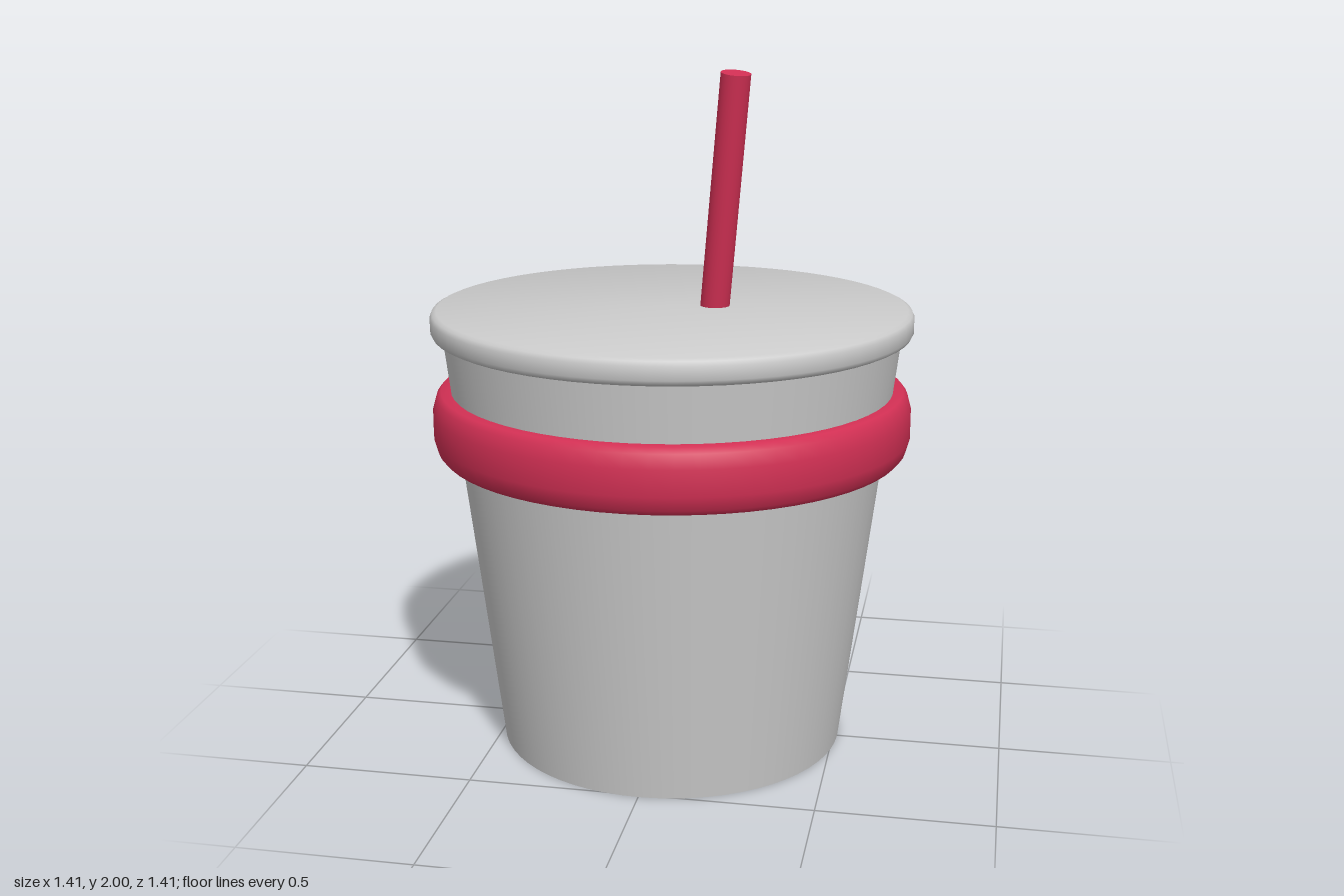
import * as THREE from 'three';
import { toCreasedNormals } from 'three/addons/utils/BufferGeometryUtils.js';

const SEGMENTS = 64;

export function createModel() {
  const group = new THREE.Group();
  const grey = new THREE.MeshStandardMaterial({ color: 0xcccccc });
  const red = new THREE.MeshStandardMaterial({ color: 0xd23054 });

  const add = (name, geometry, material) => {
    const mesh = new THREE.Mesh(geometry, material);
    mesh.name = name;
    group.add(mesh);
    return mesh;
  };
  // Profile points are [radius, height], running up the outside
  const turned = (points, crease) => toCreasedNormals(
    new THREE.LatheGeometry(points.map(([r, y]) => new THREE.Vector2(r, y)), SEGMENTS), crease);

  // Tapered cup with a flat base
  add('cup', turned([[0, 0], [0.513, 0], [0.671, 1.26]], 0.6), grey);

  // Flat lid with a rounded rim
  add('lid', turned([
    [0, 1.244], [0.685, 1.244], [0.697, 1.25], [0.703, 1.262],
    [0.703, 1.3], [0.697, 1.312], [0.685, 1.318], [0, 1.318],
  ], 0.7), grey);

  // Bevelled band around the cup
  add('band', turned([
    [0.618, 0.895], [0.678, 0.895], [0.691, 0.91], [0.702, 0.95],
    [0.702, 1.025], [0.691, 1.065], [0.678, 1.08], [0.64, 1.08], [0.618, 0.895],
  ], 0.9), red);

  // Leaning straw, starting just inside the lid
  const bottom = new THREE.Vector3(0.12, 1.29, -0.029);
  const top = new THREE.Vector3(0.191, 1.993, 0.053);
  const axis = top.clone().sub(bottom);
  const straw = add('straw', new THREE.CylinderGeometry(0.043, 0.043, axis.length(), 24), red);
  straw.position.copy(bottom).add(top).multiplyScalar(0.5);
  straw.quaternion.setFromUnitVectors(new THREE.Vector3(0, 1, 0), axis.normalize());

  return group;
}
